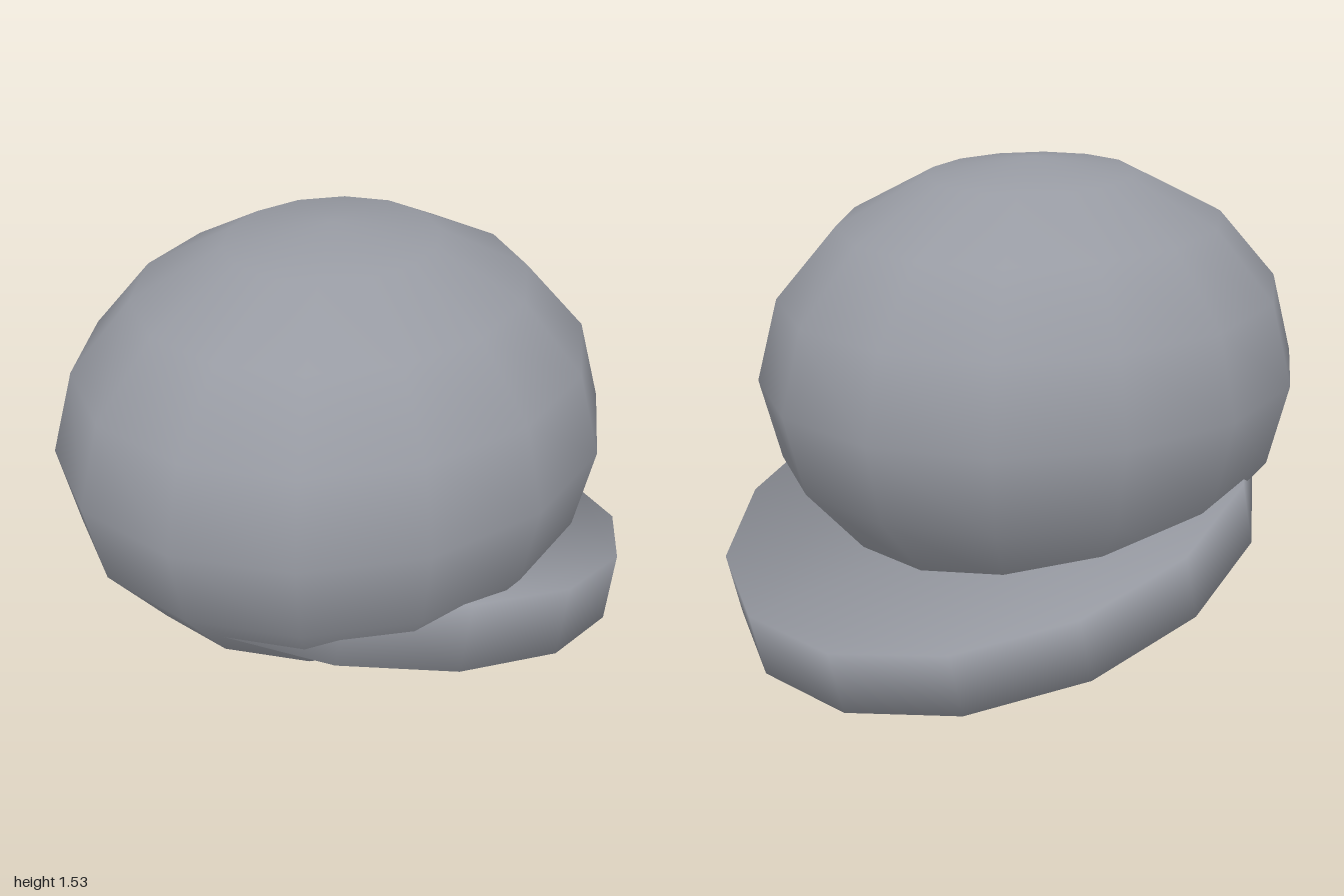
import * as THREE from 'three';

const SIDES = 14;

// Low-poly disc standing on y = 0 whose normals roll softly over the rim
function softDisc(rx, rz, height) {
  const points = [];
  for (let i = 0; i < SIDES; i++) {
    const a = Math.PI / 2 + (i / SIDES) * Math.PI * 2;
    points.push(new THREE.Vector2(rx * Math.cos(a), rz * Math.sin(a)));
  }
  const geometry = new THREE.ExtrudeGeometry(new THREE.Shape(points), {
    depth: height, bevelEnabled: false, steps: 1,
  });
  geometry.rotateX(-Math.PI / 2);
  const { position, normal } = geometry.attributes;
  const n = new THREE.Vector3();
  for (let i = 0; i < position.count; i++) {
    n.set(position.getX(i) / (rx * rx), 0, position.getZ(i) / (rz * rz)).normalize().multiplyScalar(1.13);
    n.y = position.getY(i) > height / 2 ? 1 : -1;
    n.normalize();
    normal.setXYZ(i, n.x, n.y, n.z);
  }
  return geometry;
}

export function createModel() {
  const group = new THREE.Group();
  group.name = 'cap';

  const cloth = new THREE.MeshStandardMaterial({ color: 0x989ba3 });
  cloth.name = 'grey cloth';

  // Rounded crown, corners of its rings on the z axis
  const crownGeometry = new THREE.SphereGeometry(1, SIDES, 8);
  crownGeometry.rotateY(Math.PI / 2);
  crownGeometry.scale(0.938, 0.705, 0.847);
  const crown = new THREE.Mesh(crownGeometry, cloth);
  crown.name = 'crown';
  crown.position.set(-0.084, 0.83, 0);
  group.add(crown);

  // Brim, tilted down towards +x
  const brim = new THREE.Mesh(softDisc(0.933, 0.835, 0.226), cloth);
  brim.name = 'brim';
  brim.position.set(0.061, 0.229, 0);
  brim.rotation.z = THREE.MathUtils.degToRad(-14.5);
  group.add(brim);

  return group;
}
